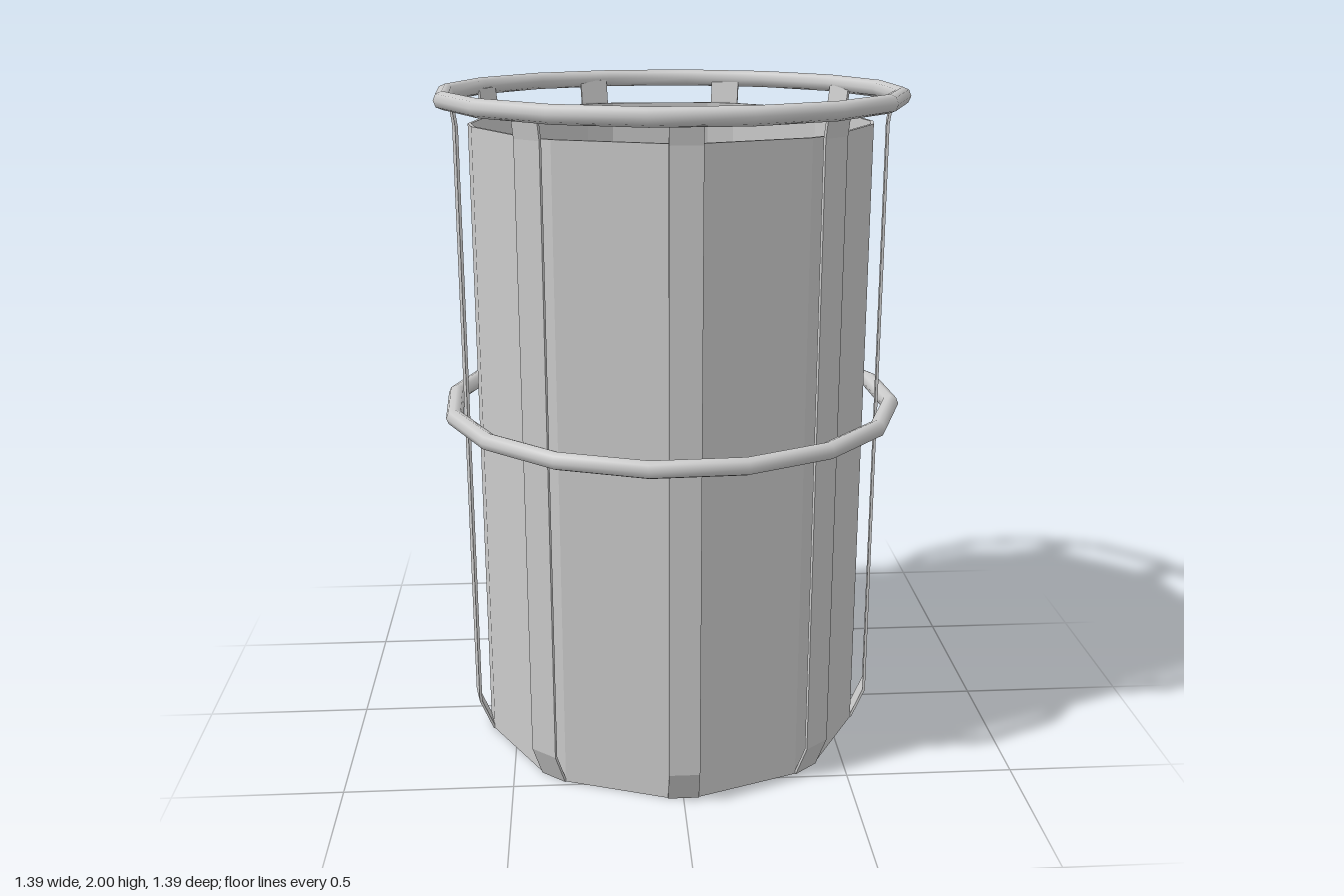
import * as THREE from 'three';

const material = new THREE.MeshStandardMaterial({ color: 0xcccccc, side: THREE.DoubleSide });
const flat = new THREE.MeshStandardMaterial({ color: 0xcccccc, side: THREE.DoubleSide, flatShading: true });
const SLATS = 9;
const STEP = (Math.PI * 2) / SLATS;

function add(parent, name, geometry, mat) {
  const mesh = new THREE.Mesh(geometry, mat);
  mesh.name = name;
  parent.add(mesh);
  return mesh;
}

// Nine-sided outline whose corners are cut flat where the slats sit
function outline(radius) {
  const points = [];
  for (let i = 0; i < SLATS; i++) {
    for (const side of [-1, 1]) {
      const a = i * STEP + side * 0.076;
      points.push(new THREE.Vector2(Math.sin(a) * radius, -Math.cos(a) * radius));
    }
  }
  return points;
}

function prism(shape, height) {
  return new THREE.ExtrudeGeometry(shape, { depth: height, bevelEnabled: false }).rotateX(-Math.PI / 2);
}

// Thin upright strip: in at the foot, straight up, slightly out under the rim
function slatGeometry() {
  const outer = [[0.594, 0], [0.635, 0.1], [0.635, 1.9], [0.645, 1.97]];
  const inner = outer.map(([r, y]) => [r - 0.008, y]).reverse();
  const shape = new THREE.Shape([...outer, ...inner].map(([r, y]) => new THREE.Vector2(r, y)));
  const width = 0.09;
  return new THREE.ExtrudeGeometry(shape, { depth: width, bevelEnabled: false }).translate(0, 0, -width / 2);
}

export function createModel() {
  const model = new THREE.Group();
  model.name = 'slattedBin';

  // Open container: thin wall and floor
  const wall = new THREE.Shape(outline(0.592));
  wall.holes.push(new THREE.Path(outline(0.582)));
  add(model, 'binWall', prism(wall, 1.9), flat);
  add(model, 'binFloor', prism(new THREE.Shape(outline(0.585)), 0.01), flat);

  // Slats around the container
  const slats = new THREE.Group();
  slats.name = 'slats';
  model.add(slats);
  const slat = slatGeometry();
  for (let i = 0; i < SLATS; i++) {
    add(slats, 'slat', slat, flat).rotation.y = i * STEP - Math.PI / 2;
  }

  // Hoops outside the slats
  for (const [name, radius, y] of [['middleHoop', 0.675, 1.048], ['topHoop', 0.67, 1.974]]) {
    const hoop = new THREE.TorusGeometry(radius, 0.026, 8, 16).rotateX(Math.PI / 2);
    const mesh = add(model, name, hoop, material);
    mesh.position.y = y;
    mesh.rotation.y = THREE.MathUtils.degToRad(-8.4);
  }

  return model;
}
